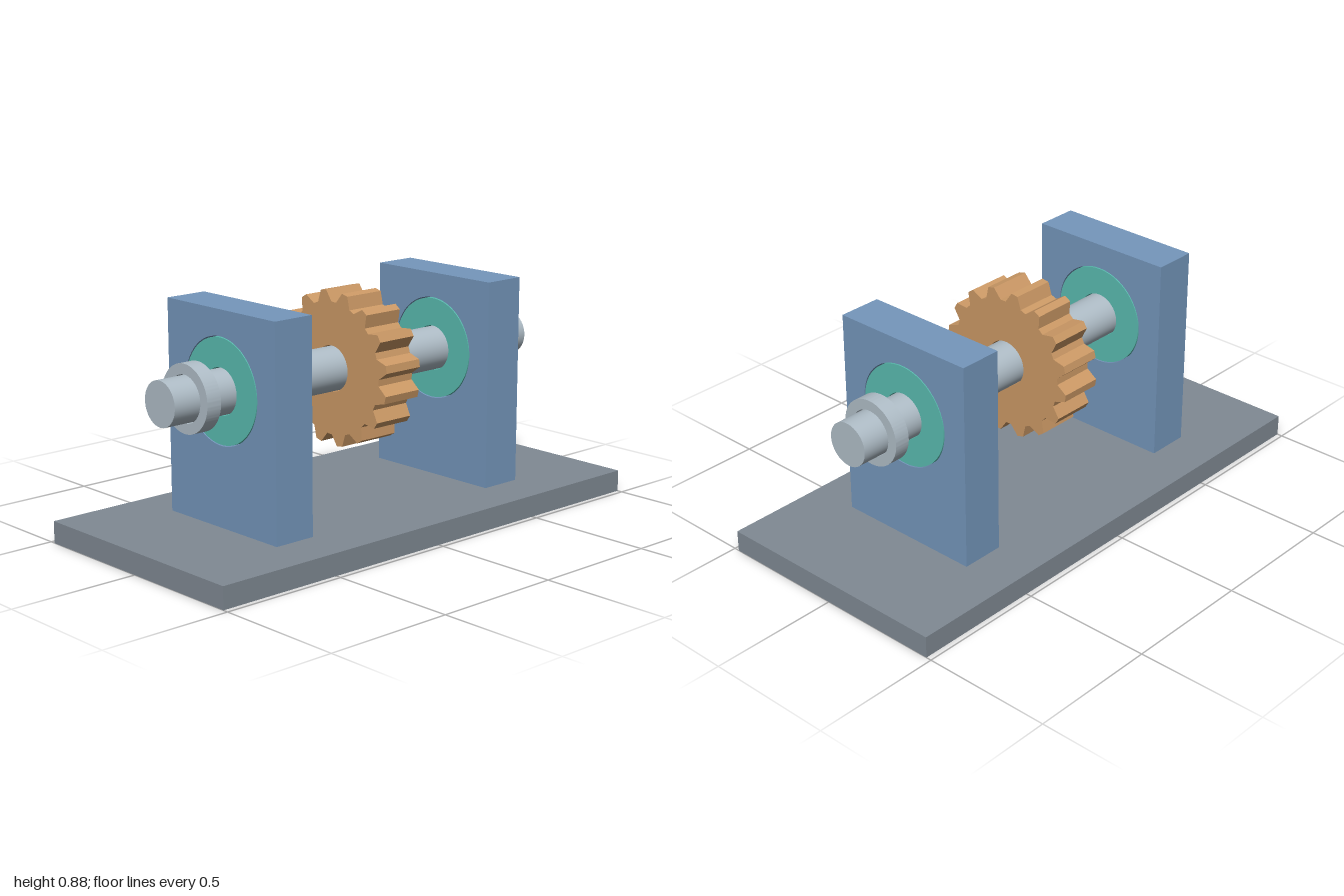
import * as THREE from 'three';
import { toCreasedNormals } from 'three/addons/utils/BufferGeometryUtils.js';

const AXIS_Y = 0.583; // shaft height
const BORE = 0.0865; // slightly larger than the shaft
const THICK = 0.167; // supports, bearings and gear

function material(name, color) {
  const m = new THREE.MeshStandardMaterial({ color });
  m.name = name;
  return m;
}

function addHole(shape, r) {
  shape.holes.push(new THREE.Path().absarc(0, 0, r, 0, Math.PI * 2, true));
  return shape;
}

function disc(r) {
  return new THREE.Shape().absarc(0, 0, r, 0, Math.PI * 2, false);
}

// Plate extruded along z and centred on z = 0
function plate(shape, depth) {
  const g = new THREE.ExtrudeGeometry(shape, { depth, bevelEnabled: false, curveSegments: 64 });
  g.translate(0, 0, -depth / 2);
  return toCreasedNormals(g, 0.2);
}

// Straight-sided teeth: rise, tip, fall, root, each a quarter of the pitch
function gearShape(teeth, root, tip) {
  const pts = [];
  for (let i = 0; i < teeth * 4; i++) {
    const a = (i / (teeth * 4)) * Math.PI * 2;
    const r = i % 4 === 1 || i % 4 === 2 ? tip : root;
    pts.push(new THREE.Vector2(r * Math.cos(a), r * Math.sin(a)));
  }
  return new THREE.Shape(pts);
}

export function createModel() {
  const model = new THREE.Group();
  model.name = 'gearShaftStand';

  const baseGrey = material('base grey', 0x808a94);
  const blue = material('support blue', 0x7597bc);
  const teal = material('bearing teal', 0x5abcb0);
  const steel = material('shaft steel', 0xb0bec8);
  const bronze = material('gear bronze', 0xcd9a66);

  const add = (name, geometry, mat, y, z = 0) => {
    const mesh = new THREE.Mesh(geometry, mat);
    mesh.name = name;
    mesh.position.set(0, y, z);
    model.add(mesh);
  };

  // Base plate
  add('basePlate', new THREE.BoxGeometry(0.958, 0.083, 2), baseGrey, 0.0415);

  // Shaft along z
  const shaft = new THREE.CylinderGeometry(0.083, 0.083, 1.75, 64);
  shaft.rotateX(Math.PI / 2);
  add('shaft', shaft, steel, AXIS_Y);

  // Gear in the middle
  add('gear', plate(addHole(gearShape(16, 0.25, 0.292), BORE), THICK), bronze, AXIS_Y);

  // Support outline relative to the shaft axis
  const bottom = 0.083 - AXIS_Y, top = 0.876 - AXIS_Y, half = 0.292;
  const outline = new THREE.Shape();
  outline.moveTo(-half, bottom);
  outline.lineTo(half, bottom);
  outline.lineTo(half, top);
  outline.lineTo(-half, top);
  outline.closePath();

  const support = plate(addHole(outline, 0.197), THICK);
  const bearing = plate(addHole(disc(0.193), BORE), THICK);
  const collar = plate(addHole(disc(0.125), BORE), 0.06);

  // Support, bearing and collar at each end
  for (const [end, s] of [['front', 1], ['back', -1]]) {
    add(end + 'Support', support, blue, AXIS_Y, s * 0.524);
    add(end + 'Bearing', bearing, teal, AXIS_Y, s * 0.524);
    add(end + 'Collar', collar, steel, AXIS_Y, s * 0.738);
  }
  return model;
}
